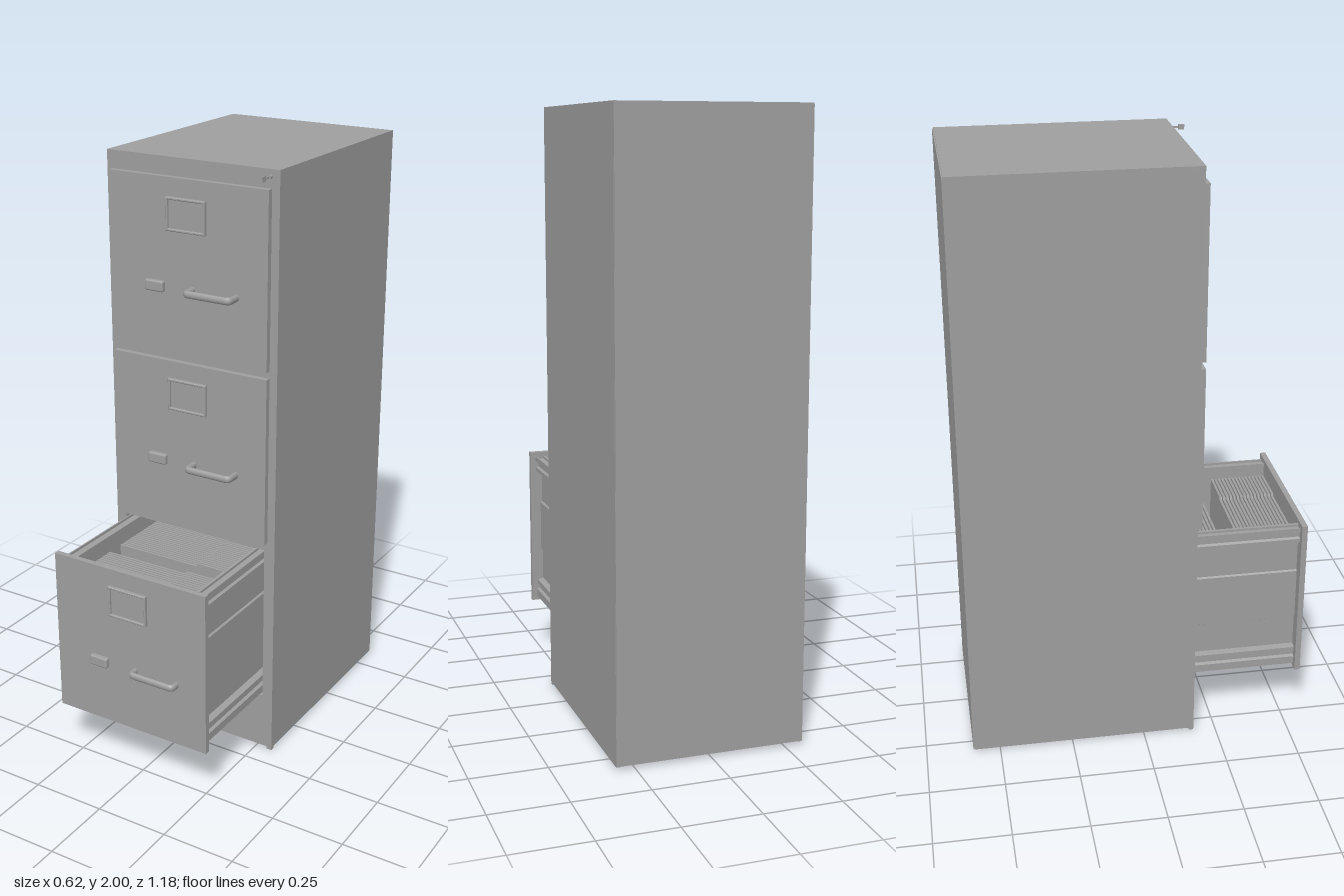
import * as THREE from 'three';
import { RoundedBoxGeometry } from 'three/addons/geometries/RoundedBoxGeometry.js';

const paint = new THREE.MeshStandardMaterial({ color: 0x9f9f9f });

function add(parent, name, geometry) {
  const mesh = new THREE.Mesh(geometry, paint);
  mesh.name = name;
  parent.add(mesh);
  return mesh;
}

// Box given by its limits on each axis
function box(parent, name, [x0, x1], [y0, y1], [z0, z1]) {
  const mesh = add(parent, name, new THREE.BoxGeometry(x1 - x0, y1 - y0, z1 - z0));
  mesh.position.set((x0 + x1) / 2, (y0 + y1) / 2, (z0 + z1) / 2);
  return mesh;
}

// Rectangular frame in the xy plane, extruded towards +z from z
function frame(parent, name, outer, inner, z, depth, bevel = 0) {
  const loop = ([x0, x1, y0, y1]) => [[x0, y0], [x1, y0], [x1, y1], [x0, y1]].map(p => new THREE.Vector2(...p));
  const shape = new THREE.Shape(loop(outer));
  shape.holes.push(new THREE.Path(loop(inner)));
  const mesh = add(parent, name, new THREE.ExtrudeGeometry(shape, {
    depth, bevelEnabled: bevel > 0, bevelSize: bevel, bevelThickness: bevel, bevelOffset: -bevel, bevelSegments: 1,
  }));
  mesh.position.z = z;
  return mesh;
}

// Hollow carcass with an open bay for the bottom drawer
function cabinet() {
  const g = new THREE.Group();
  g.name = 'cabinet';
  for (const s of [-1, 1]) {
    const side = box(g, 'sidePanel', [-0.006, 0.006], [0.009, 2], [-0.588, 0.155]);
    side.position.x = s * 0.304;
    box(g, 'frontFoot', [s * 0.3 - 0.009, s * 0.3 + 0.009], [0, 0.01], [0.158, 0.174]);
  }
  box(g, 'topPanel', [-0.31, 0.31], [1.988, 2], [-0.588, 0.155]);
  box(g, 'backPanel', [-0.309, 0.309], [0.012, 1.996], [-0.592, -0.58]);
  box(g, 'bottomPanel', [-0.3, 0.3], [0.011, 0.023], [-0.58, 0.155]);
  box(g, 'bayCeiling', [-0.299, 0.299], [0.765, 0.777], [-0.58, 0.155]);
  frame(g, 'frontFrame', [-0.31, 0.31, 0.009, 2], [-0.275, 0.272, 0.207, 0.757], 0.155, 0.019);
  return g;
}

// Drawer front with label holder, latch and handle; the panel's face is at z = 0
function drawerFront(y0, y1, handleOut) {
  const g = new THREE.Group();
  g.name = 'drawerFront';
  box(g, 'frontPanel', [-0.29, 0.283], [y0, y1], [-0.019, 0]);

  const ly = y0 + 0.455;
  frame(g, 'labelHolder', [-0.076, 0.067, ly - 0.053, ly + 0.053], [-0.068, 0.059, ly - 0.045, ly + 0.045], 0, 0.01, 0.002);
  box(g, 'labelCard', [-0.07, 0.061], [ly - 0.047, ly + 0.047], [-0.002, 0.004]);

  const hy = y0 + 0.222;
  const latch = add(g, 'latch', new RoundedBoxGeometry(0.068, 0.036, 0.022, 2, 0.006));
  latch.position.set(-0.122, hy - 0.002, 0.004);

  // Bar handle with two rounded corners
  const r = 0.011, z = handleOut - 0.009, xa = 0.016, xb = 0.174;
  const v = (x, zz) => new THREE.Vector3(x, 0, zz);
  const path = new THREE.CurvePath();
  path.add(new THREE.LineCurve3(v(xa, -0.012), v(xa, z - r)));
  path.add(new THREE.QuadraticBezierCurve3(v(xa, z - r), v(xa, z), v(xa + r, z)));
  path.add(new THREE.LineCurve3(v(xa + r, z), v(xb - r, z)));
  path.add(new THREE.QuadraticBezierCurve3(v(xb - r, z), v(xb, z), v(xb, z - r)));
  path.add(new THREE.LineCurve3(v(xb, z - r), v(xb, -0.012)));
  const handle = add(g, 'handle', new THREE.TubeGeometry(path, 80, 0.009, 10));
  handle.geometry.scale(1, 1.35, 1);
  handle.position.y = hy;
  return g;
}

// Pulled-out drawer: channelled sides, floor, back and a set of folders
function drawerBody(zBack, zFront) {
  const g = new THREE.Group();
  g.name = 'drawerBody';
  const profile = [
    [0.228, 0.211], [0.267, 0.211], [0.267, 0.238], [0.257, 0.243], [0.257, 0.255], [0.265, 0.26], [0.265, 0.275],
    [0.244, 0.28], [0.244, 0.388], [0.25, 0.392], [0.25, 0.572], [0.244, 0.576], [0.244, 0.688],
    [0.265, 0.692], [0.265, 0.705], [0.257, 0.71], [0.257, 0.725], [0.267, 0.73], [0.267, 0.746],
    [0.262, 0.746], [0.262, 0.738], [0.238, 0.738], [0.238, 0.746], [0.228, 0.746],
  ];
  for (const s of [-1, 1]) {
    const shape = new THREE.Shape(profile.map(([x, y]) => new THREE.Vector2(s * x, y)));
    const side = add(g, 'drawerSide', new THREE.ExtrudeGeometry(shape, { depth: zFront - zBack, bevelEnabled: false }));
    side.position.z = zBack;
  }
  box(g, 'drawerFloor', [-0.23, 0.23], [0.211, 0.223], [zBack, zFront]);
  box(g, 'drawerBack', [-0.23, 0.23], [0.211, 0.738], [zBack, zBack + 0.01]);

  // Folders with a raised tab, in two packs
  const folder = new THREE.Shape([
    [-0.226, 0.222], [0.226, 0.222], [0.226, 0.7], [0.082, 0.7], [0.078, 0.69], [-0.226, 0.69],
  ].map(p => new THREE.Vector2(...p)));
  const sheet = new THREE.ExtrudeGeometry(folder, { depth: 0.008, bevelEnabled: false });
  const pitch = 0.0125;
  for (const [first, count] of [[-0.132, 33], [0.337, 16]]) {
    for (let i = 0; i < count; i++) add(g, 'folder', sheet).position.z = first + i * pitch;
  }
  g.position.x = -0.003;
  return g;
}

// Lock with a key standing in it
function lock() {
  const g = new THREE.Group();
  g.name = 'lock';
  const barrel = add(g, 'lockBarrel', new THREE.CylinderGeometry(0.006, 0.006, 0.012, 16));
  barrel.rotation.x = Math.PI / 2;
  barrel.position.z = 0.005;
  box(g, 'keyBlade', [-0.0015, 0.0015], [-0.003, 0.003], [0.005, 0.035]);
  box(g, 'keyBow', [-0.002, 0.002], [-0.009, 0.008], [0.034, 0.054]);
  g.position.set(0.279, 1.978, 0.174);
  return g;
}

export function createModel() {
  const model = new THREE.Group();
  model.name = 'filingCabinet';
  model.add(cabinet(), lock(), drawerBody(-0.17, 0.537));
  const fronts = [[1.375, 1.942, 0.193, 0.055], [0.786, 1.351, 0.193, 0.055], [0.196, 0.762, 0.553, 0.037]];
  for (const [y0, y1, z, out] of fronts) {
    const front = drawerFront(y0, y1, out);
    front.position.z = z;
    model.add(front);
  }
  return model;
}
